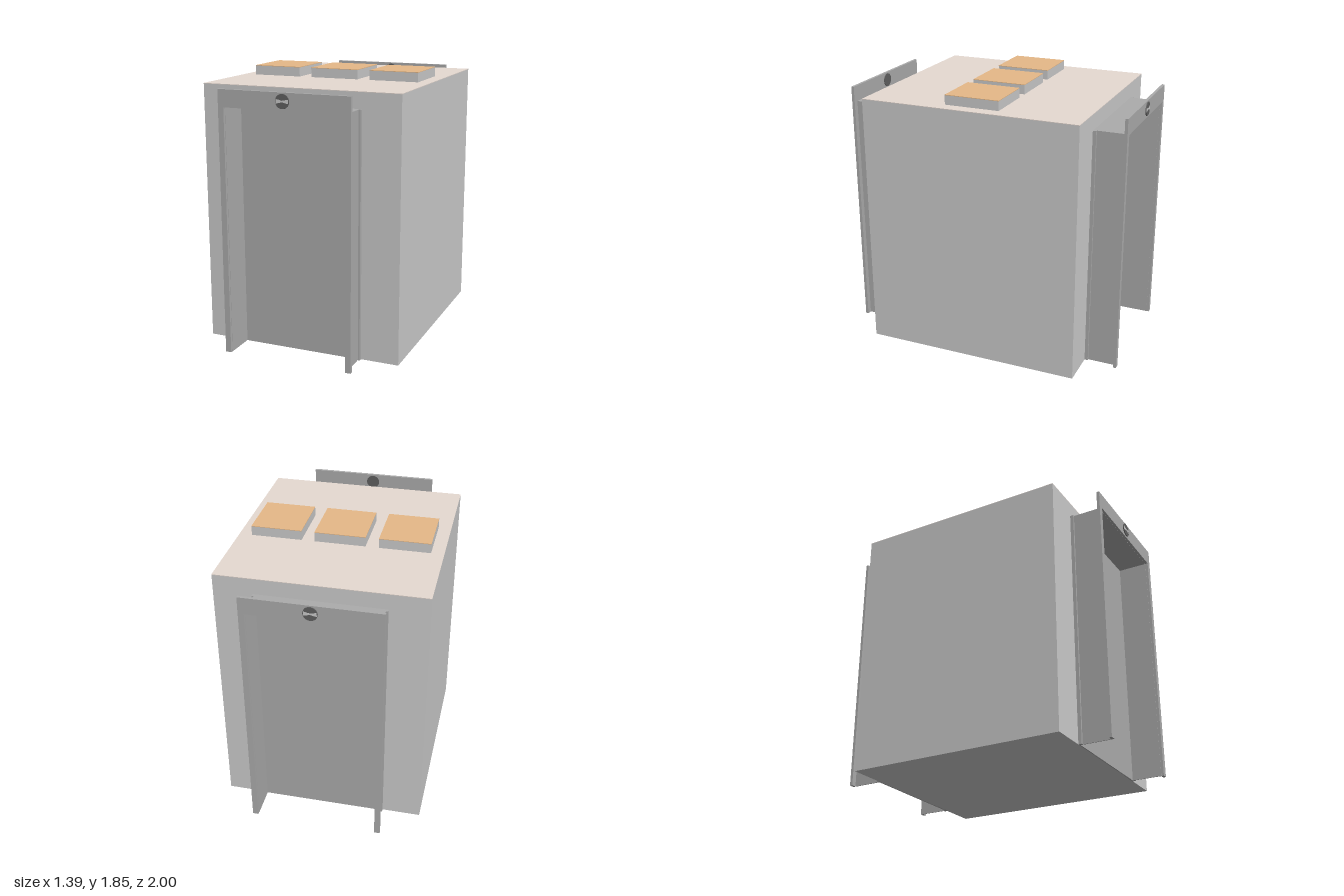
import * as THREE from 'three';

const paint = (color) => new THREE.MeshStandardMaterial({ color });
const grey = paint(0xcccccc);
const steel = paint(0xacacac);
const dark = paint(0x606060);
const beige = paint(0xe6dad2);
const tan = paint(0xe6b988);

// Box given by its minimum and maximum corners
function box(name, min, max, material) {
  const size = max.map((v, i) => v - min[i]);
  const mesh = new THREE.Mesh(new THREE.BoxGeometry(...size), material);
  mesh.position.set(...max.map((v, i) => (v + min[i]) / 2));
  mesh.name = name;
  return mesh;
}

// Doorway surround: an upside-down U, extruded from z0 to z1
function surround(name, outerX, outerY, innerX, innerY, z0, z1) {
  const shape = new THREE.Shape([
    [-outerX, 0], [-innerX, 0], [-innerX, innerY], [innerX, innerY],
    [innerX, 0], [outerX, 0], [outerX, outerY], [-outerX, outerY],
  ].map(([x, y]) => new THREE.Vector2(x, y)));
  const geometry = new THREE.ExtrudeGeometry(shape, { depth: z1 - z0, bevelEnabled: false });
  const mesh = new THREE.Mesh(geometry, steel);
  mesh.position.z = z0;
  mesh.name = name;
  return mesh;
}

// Round floor indicator with a pale bow-tie marking
function createIndicator() {
  const group = new THREE.Group();
  group.name = 'floorIndicator';
  const disc = new THREE.Mesh(new THREE.CylinderGeometry(0.047, 0.047, 0.03, 32), dark);
  disc.rotation.x = Math.PI / 2;
  disc.name = 'indicatorDisc';
  const bow = new THREE.Shape([
    [-0.042, -0.014], [0, -0.005], [0.042, -0.014],
    [0.042, 0.014], [0, 0.005], [-0.042, 0.014],
  ].map(([x, y]) => new THREE.Vector2(x, y)));
  const marking = new THREE.Mesh(
    new THREE.ExtrudeGeometry(bow, { depth: 0.002, bevelEnabled: false }), grey);
  marking.position.z = 0.014;
  marking.name = 'indicatorMarking';
  group.add(disc, marking);
  group.position.set(0, 1.725, 0.984);
  return group;
}

// One complete entrance, facing +z
function createEntrance(name) {
  const group = new THREE.Group();
  group.name = name;
  group.add(
    box('door', [-0.416, 0, 0.755], [0.416, 1.665, 0.768], steel),
    surround('doorReveal', 0.42, 1.67, 0.414, 1.664, 0.76, 0.975),
    surround('doorFrame', 0.455, 1.78, 0.416, 1.665, 0.973, 0.993),
    createIndicator(),
  );
  // Narrow strips where the reveal meets the cabin
  for (const side of [-1, 1]) {
    const strip = box('jambStrip', [-0.007, 0, 0.755], [0.007, 1.67, 0.783], steel);
    strip.position.x = side * 0.426;
    group.add(strip);
  }
  return group;
}

export function createModel() {
  const model = new THREE.Group();
  model.name = 'elevatorCabin';

  // Cabin body with its tinted roof
  model.add(
    box('cabinBody', [-0.695, 0, -0.76], [0.695, 1.776, 0.76], grey),
    box('roof', [-0.695, 1.776, -0.76], [0.695, 1.78, 0.76], beige),
  );

  // Three ceiling light housings
  for (const x of [-0.435, 0, 0.435]) {
    const light = new THREE.Group();
    light.name = 'ceilingLight';
    light.add(
      box('lightHousing', [-0.173, 1.778, -0.19], [0.173, 1.843, 0.19], grey),
      box('lightCover', [-0.173, 1.843, -0.19], [0.173, 1.847, 0.19], tan),
    );
    light.position.x = x;
    model.add(light);
  }

  // Matching entrances front and back
  const back = createEntrance('backEntrance');
  back.rotation.y = Math.PI;
  model.add(createEntrance('frontEntrance'), back);
  return model;
}
